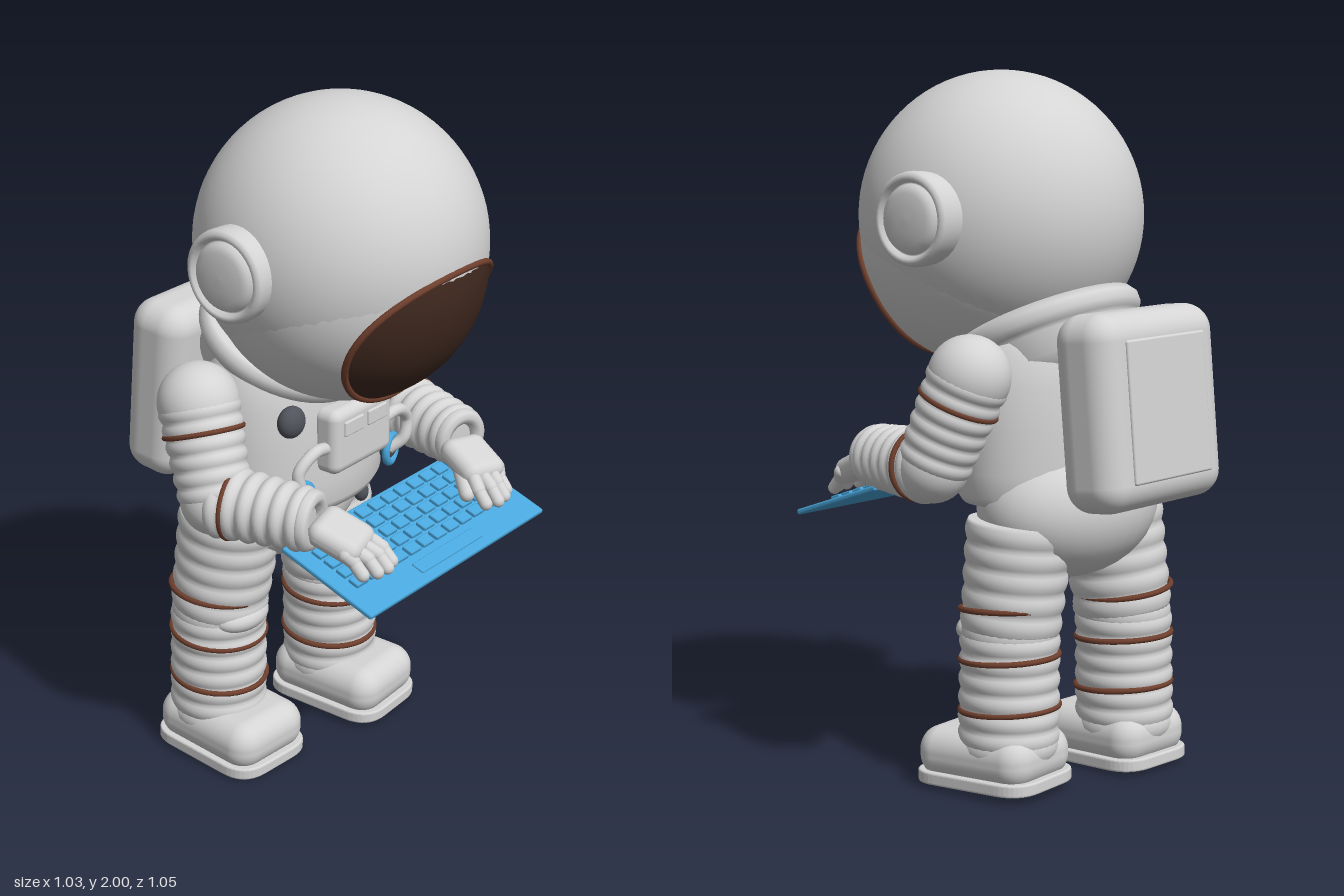
import * as THREE from 'three';
import { RoundedBoxGeometry } from 'three/addons/geometries/RoundedBoxGeometry.js';

const mat = (name, color) => Object.assign(new THREE.MeshStandardMaterial({ color }), { name });
const V = (x, y, z) => new THREE.Vector3(x, y, z);
const UP = V(0, 1, 0);

export function createModel() {
  const root = new THREE.Group();
  root.name = 'astronaut';
  const suit = mat('suitGrey', 0xd4d4d4);
  const brown = mat('bandBrown', 0x70402e);
  const visorDark = mat('visorBrown', 0x40291f);
  const dark = mat('knobGrey', 0x50535b);
  const blue = mat('keyboardBlue', 0x4aa8de);

  const add = (name, geo, material, pos = V(0, 0, 0), parent = root) => {
    const m = new THREE.Mesh(geo, material);
    m.name = name;
    m.position.copy(pos);
    parent.add(m);
    return m;
  };
  const sphere = new THREE.SphereGeometry(1, 32, 20);
  const ball = (name, pos, rx, ry = rx, rz = rx, material = suit) => {
    const m = add(name, sphere, material, pos);
    m.scale.set(rx, ry, rz);
  };
  const lathe = (pts, seg = 36) => new THREE.LatheGeometry(pts.map(p => new THREE.Vector2(...p)), seg);
  const aim = (m, dir) => m.quaternion.setFromUnitVectors(UP, dir.clone().normalize());

  // Ribbed sleeve from a to b
  const sleeve = (name, a, b, r1, r2, ribs, amp = 0.008) => {
    const len = a.distanceTo(b), pts = [[0, 0]], n = ribs * 6;
    for (let i = 0; i <= n; i++) {
      const t = i / n;
      pts.push([r1 + (r2 - r1) * t + amp * (Math.abs(Math.sin(Math.PI * ribs * t)) - 0.5), len * t]);
    }
    pts.push([0, len]);
    aim(add(name, lathe(pts), suit, a), b.clone().sub(a));
  };
  // Ring around a direction
  const ring = (name, pos, dir, r, tube, material) => {
    const g = new THREE.TorusGeometry(r, tube, 8, 40).rotateX(Math.PI / 2);
    aim(add(name, g, material, pos), dir);
  };
  const rod = (name, a, b, r) => {
    const g = new THREE.CapsuleGeometry(r, a.distanceTo(b), 5, 14);
    aim(add(name, g, suit, a.clone().lerp(b, 0.5)), b.clone().sub(a));
  };

  // Helmet with lower face bulge
  const helmet = add('helmet', new THREE.SphereGeometry(0.408, 64, 40), suit, V(0, 1.592, 0.1));
  helmet.scale.x = 0.985;
  const face = new THREE.Group();
  face.name = 'face';
  face.position.set(0, 1.54, 0.12);
  face.rotation.x = 0.49;
  root.add(face);
  add('faceBulge', new THREE.SphereGeometry(0.386, 64, 40), suit, V(0, 0, 0), face);

  // Visor: a disc wrapped onto the bulge, with its rim
  const R = 0.39, wrap = (x, y) => {
    const a = x * 0.725, b = y * 0.6;
    return V(a, b, Math.sqrt(1 - a * a - b * b)).multiplyScalar(R);
  };
  const disc = new THREE.RingGeometry(0.001, 1, 64, 12);
  const p = disc.attributes.position;
  for (let i = 0; i < p.count; i++) {
    const v = wrap(p.getX(i), p.getY(i));
    p.setXYZ(i, v.x, v.y, v.z);
    v.normalize();
    disc.attributes.normal.setXYZ(i, v.x, v.y, v.z);
  }
  add('visor', disc, visorDark, V(0, 0, 0), face);
  const rim = Array.from({ length: 48 }, (_, i) => wrap(Math.cos(i * Math.PI / 24), Math.sin(i * Math.PI / 24)));
  add('visorRim', new THREE.TubeGeometry(new THREE.CatmullRomCurve3(rim, true), 96, 0.01, 8, true), brown, V(0, 0, 0), face);

  // Tilted collar
  const collar = add('collar', lathe([[0.2, -0.15], [0.25, -0.11], [0.252, -0.045], [0.272, -0.035],
    [0.285, -0.015], [0.285, 0.012], [0.27, 0.032], [0.2, 0.04]], 56), suit, V(0, 1.28, -0.07));
  collar.rotation.x = 0.45;
  collar.scale.z = 0.93;

  // Torso and pelvis
  const torso = add('torso', lathe([[0, 0.8], [0.25, 0.8], [0.29, 0.81], [0.308, 0.835], [0.312, 0.9], [0.312, 1.02],
    [0.305, 1.14], [0.285, 1.22], [0.25, 1.28], [0.18, 1.33], [0, 1.34]], 56), suit, V(0, 0, -0.075));
  torso.scale.z = 0.71;
  ball('pelvis', V(0, 0.79, -0.145), 0.305, 0.208, 0.22);

  // Backpack
  const pack = new THREE.Group();
  pack.name = 'backpack';
  pack.position.set(0, 1.085, -0.395);
  pack.rotation.x = 0.09;
  root.add(pack);
  add('backpackBody', new RoundedBoxGeometry(0.53, 0.54, 0.2, 6, 0.075), suit, V(0, 0, 0), pack);
  add('backpackPanel', new RoundedBoxGeometry(0.35, 0.39, 0.016, 3, 0.007), suit, V(0, 0, -0.1), pack);

  // Chest unit
  add('chestUnit', new RoundedBoxGeometry(0.265, 0.195, 0.09, 4, 0.03), suit, V(0, 1.04, 0.145));
  for (const s of [-1, 1]) {
    add('chestScreen', new RoundedBoxGeometry(0.085, 0.045, 0.012, 2, 0.005), suit, V(s * 0.052, 1.08, 0.19));
    ball('chestKnob', V(s * 0.222, 1.125, 0.105), 0.046, 0.046, 0.034, dark);
    const hose = new THREE.CatmullRomCurve3([V(0.11, 1.02, 0.15), V(0.19, 1.035, 0.16), V(0.245, 0.99, 0.15),
      V(0.235, 0.93, 0.15), V(0.205, 0.895, 0.12)].map(v => v.setX(v.x * s)));
    add('hose', new THREE.TubeGeometry(hose, 32, 0.018, 12), suit);
    ring('hoseSocket', V(s * 0.207, 0.895, 0.125), V(s * 0.3, 0, 1), 0.04, 0.012, blue);
    ball('hosePlug', V(s * 0.207, 0.895, 0.115), 0.034, 0.034, 0.02, dark);
    ball('beltKnob', V(s * 0.1, 0.79, 0.1), 0.022, 0.03, 0.022, dark);
  }

  for (const s of [-1, 1]) {
    const M = (x, y, z) => V(s * x, y, z);

    // Ear pod
    const pod = add('earPod', lathe([[0.125, -0.06], [0.13, 0.025], [0.127, 0.042], [0.118, 0.05], [0.107, 0.05],
      [0.1, 0.036], [0.095, 0.036], [0.09, 0.05], [0.07, 0.057], [0.035, 0.061], [0, 0.062]]), suit, M(0.393, 1.6, 0.055));
    aim(pod, M(1, 0, 0));

    // Arm: shoulder, upper arm, elbow, forearm
    const shoulder = M(0.372, 1.18, -0.1), elbow = M(0.415, 0.93, -0.005), wrist = M(0.345, 0.925, 0.27);
    const upper = elbow.clone().sub(shoulder), fore = wrist.clone().sub(elbow);
    ball('shoulder', shoulder, 0.115);
    sleeve('upperArm', shoulder, elbow, 0.113, 0.1, 6);
    ball('elbow', elbow, 0.1);
    sleeve('forearm', elbow, wrist, 0.1, 0.084, 6, 0.014);
    ring('upperArmBand', shoulder.clone().lerp(elbow, 0.3), upper, 0.109, 0.008, brown);
    ring('forearmBand', elbow.clone().lerp(wrist, 0.2), fore, 0.098, 0.008, brown);
    ring('gloveCuff', wrist, fore, 0.064, 0.024, suit);

    // Glove resting on the keys
    const palm = add('palm', new RoundedBoxGeometry(0.15, 0.075, 0.16, 4, 0.035), suit, M(0.305, 0.888, 0.345));
    palm.rotation.set(0.4, -s * 0.25, 0);
    for (let i = 0; i < 4; i++) {
      const x = 0.232 + i * 0.038, tip = [0.455, 0.47, 0.465, 0.445][i];
      const knuckle = M(x + 0.008, 0.865, 0.4), mid = M(x - 0.006, 0.845, tip - 0.03);
      rod('finger', knuckle, mid, 0.021);
      rod('fingertip', mid, M(x - 0.01, 0.812, tip), 0.019);
    }
    rod('thumb', M(0.255, 0.87, 0.34), M(0.205, 0.832, 0.4), 0.022);

    // Leg: one stands further forward
    const z = s > 0 ? -0.105 : -0.185;
    const hip = M(0.185, 0.76, s > 0 ? -0.125 : -0.15), knee = M(0.208, 0.45, z), ankle = M(0.216, 0.13, z);
    sleeve('thigh', hip, knee, 0.15, 0.138, 5);
    ball('kneeJoint', knee, 0.138, 0.09, 0.138);
    sleeve('shin', knee, ankle, 0.138, 0.14, 6);
    ball('kneePad', M(0.212, 0.452, z + 0.085), 0.1, 0.048, 0.07);
    [[0.515, 0.137], [0.38, 0.138], [0.235, 0.139]].forEach(([y, r], i) =>
      ring('legBand', M(0.21, y, z), M(i ? 0 : -0.1, 1, 0.07), r, 0.0085, brown));

    // Boot: upper, ankle, sole
    const boot = new THREE.Group();
    boot.name = 'boot';
    boot.position.copy(M(0.218, s > 0 ? 0.016 : 0.006, z + 0.048));
    boot.rotation.set(0.03, s * 0.06, 0);
    root.add(boot);
    add('bootUpper', new RoundedBoxGeometry(0.285, 0.15, 0.375, 6, 0.068), suit, V(0, 0.083, 0), boot);
    add('bootAnkle', sphere, suit, V(0, 0.11, -0.05), boot).scale.set(0.143, 0.085, 0.145);
    const w = 0.143, d = 0.192, c = 0.085, o = new THREE.Shape();
    o.moveTo(-w + c, -d);
    o.lineTo(w - c, -d).quadraticCurveTo(w, -d, w, -d + c);
    o.lineTo(w, d - c).quadraticCurveTo(w, d, w - c, d);
    o.lineTo(-w + c, d).quadraticCurveTo(-w, d, -w, d - c);
    o.lineTo(-w, -d + c).quadraticCurveTo(-w, -d, -w + c, -d);
    const sole = new THREE.ExtrudeGeometry(o, { depth: 0.024, bevelSize: 0.006, bevelThickness: 0.006, bevelSegments: 3, curveSegments: 10 });
    add('sole', sole.rotateX(-Math.PI / 2), suit, V(0, 0.006, 0), boot);
  }

  // Keyboard tilted toward the front
  const board = new THREE.Group();
  board.name = 'keyboard';
  board.position.set(0, 0.792, 0.375);
  board.rotation.x = 0.33;
  root.add(board);
  add('keyboardBase', new RoundedBoxGeometry(0.815, 0.016, 0.325, 3, 0.006), blue, V(0, 0, 0), board);
  const key = new RoundedBoxGeometry(0.05, 0.014, 0.035, 1, 0.004);
  for (let row = 0; row < 5; row++)
    for (let col = 0; col < 12; col++)
      add('key', key, blue, V((col - 5.5) * 0.06, 0.012, -0.13 + row * 0.045), board);
  add('spaceBar', new RoundedBoxGeometry(0.285, 0.01, 0.042, 2, 0.004), blue, V(0, 0.008, 0.112), board);

  return root;
}
